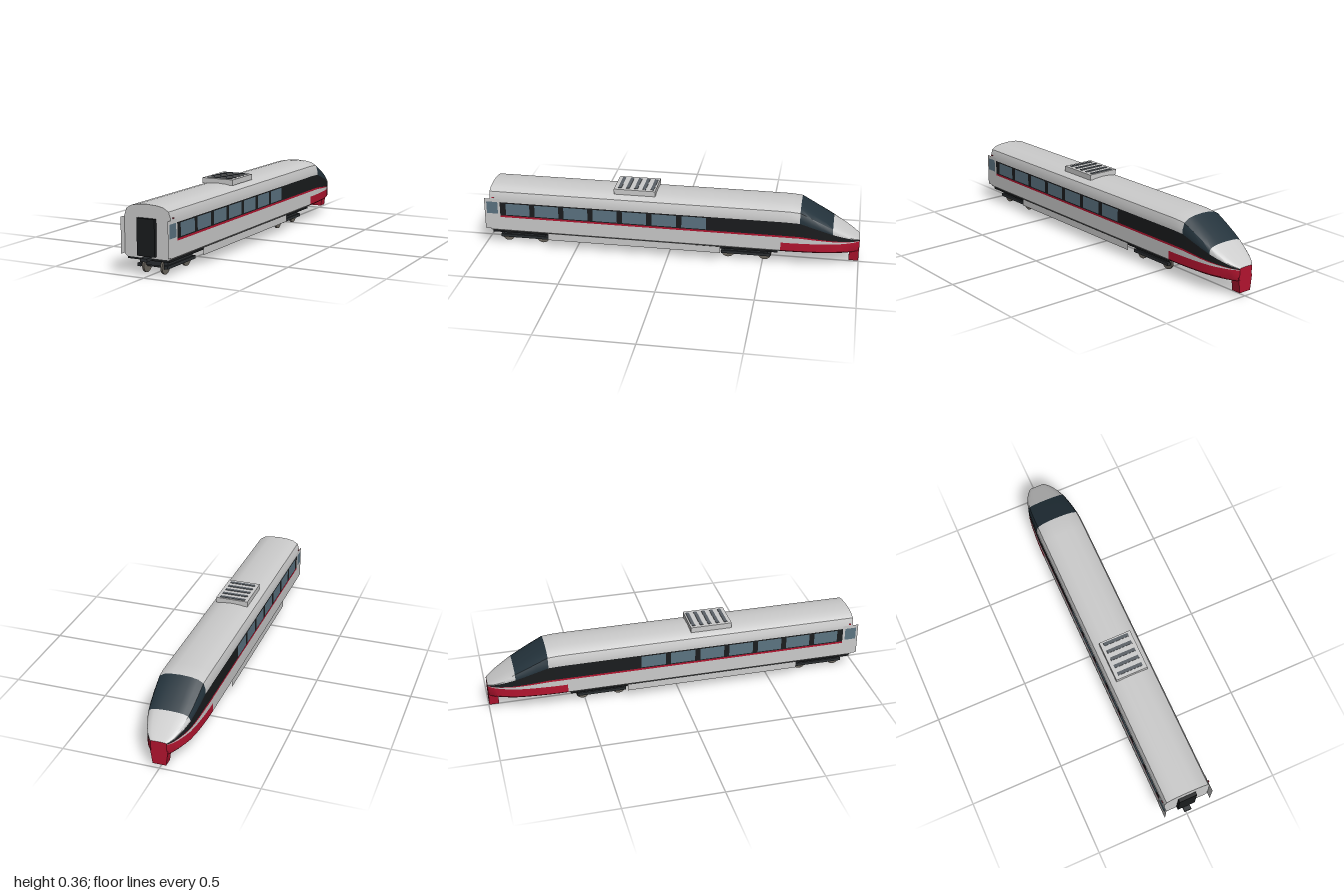
import * as THREE from 'three';
import { toCreasedNormals } from 'three/addons/utils/BufferGeometryUtils.js';

const mat = (color) => new THREE.MeshStandardMaterial({ color, side: THREE.DoubleSide });
const GREY = mat(0xcccccc), RED = mat(0xb3142f), BLACK = mat(0x1a1c1e), GLASS = mat(0x5c7482);
const SHIELD = mat(0x24333c), FRAME = mat(0x2a2e31), STEEL = mat(0x6b665e), SLAT = mat(0x5a6066);

// Half cross-section, from the sill up to the roof centre, then mirrored
const half = [[.112, .085], [.125, .095], [.125, .14], [.125, .17], [.125, .18], [.125, .257],
  [.125, .28], [.114, .313], [.086, .33], [.05, .337], [0, .34]];
const profile = [...half, ...half.slice(0, -1).reverse().map(([x, y]) => [-x, y])];
const LAST = profile.length - 1;

// Stations along the body: z, width factor, roof height
const stations = [[.96, 1, .34], [-.595, 1, .34], [-.64, 1, .339], [-.69, .985, .334], [-.75, .955, .3],
  [-.81, .91, .265], [-.86, .85, .235], [-.9, .76, .211], [-.94, .64, .187], [-.97, .52, .169],
  [-.99, .4, .157], [-1, .32, .15]];

function section([z, w, top]) {
  const base = .14, f = (top - base) / (.34 - base);
  return profile.map(([x, y]) => new THREE.Vector3(x * w, y > base ? base + (y - base) * f : y, z));
}

// Skin panel between two profile rows and two z positions
function panel(r0, r1, z0, z1) {
  const rings = stations.filter(([z]) => z <= z0 && z >= z1).map((s) => section(s).slice(r0, r1 + 1));
  const n = r1 - r0 + 1, index = [];
  for (let k = 0; k < rings.length - 1; k++) {
    for (let i = 0; i < n - 1; i++) {
      const a = k * n + i, c = a + n;
      index.push(a, c, a + 1, a + 1, c, c + 1);
    }
  }
  const g = new THREE.BufferGeometry().setFromPoints(rings.flat());
  g.setIndex(index);
  return toCreasedNormals(g, .6);
}

export function createModel() {
  const model = new THREE.Group();
  const add = (name, geometry, material, x = 0, y = 0, z = 0) => {
    const m = new THREE.Mesh(geometry, material);
    m.name = name;
    m.position.set(x, y, z);
    model.add(m);
    return m;
  };
  // Box given by its extents
  const box = (name, material, x0, x1, y0, y1, z0, z1) => add(name,
    new THREE.BoxGeometry(x1 - x0, y1 - y0, z1 - z0), material, (x0 + x1) / 2, (y0 + y1) / 2, (z0 + z1) / 2);
  // Thin sheet on one side of the body
  const sheet = (name, material, side, x, y0, y1, z0, z1) => {
    const m = add(name, new THREE.PlaneGeometry(z1 - z0, y1 - y0), material, side * x, (y0 + y1) / 2, (z0 + z1) / 2);
    m.rotation.y = side * Math.PI / 2;
  };
  const sidePanels = (name, material, r0, r1, z0, z1) => {
    add(name, panel(r0, r1, z0, z1), material);
    add(name, panel(LAST - r1, LAST - r0, z0, z1), material);
  };
  const endCap = (name, material, station) => {
    const shape = new THREE.Shape(section(station).map((p) => new THREE.Vector2(p.x, p.y)));
    const m = add(name, new THREE.ShapeGeometry(shape), material, 0, 0, station[0]);
    if (station[0] < 0) m.rotation.y = Math.PI;
  };

  // Body shell, with the underside of the nose left open
  sidePanels('lowerSide', GREY, 0, 3, .96, -.595);
  sidePanels('noseSkirt', RED, 0, 2, -.595, -1);
  sidePanels('noseSide', GREY, 2, 3, -.595, -1);
  sidePanels('sideStripe', RED, 3, 4, .96, -1);
  sidePanels('windowBand', BLACK, 4, 5, .96, -1);
  add('roof', panel(5, LAST - 5, .96, -.69), GREY);
  add('windshield', panel(5, LAST - 5, -.69, -.86), SHIELD);
  add('noseTop', panel(5, LAST - 5, -.86, -1), GREY);
  endCap('endWall', GREY, stations[0]);
  endCap('noseTip', RED, stations[stations.length - 1]);

  // Tapered plough under the nose
  const plough = new THREE.BoxGeometry(.09, .08, .05);
  const p = plough.attributes.position;
  for (let i = 0; i < p.count; i++) {
    if (p.getY(i) < 0) p.setX(i, p.getX(i) * .76);
  }
  plough.computeVertexNormals();
  add('plough', plough, RED, 0, .062, -.974);

  // Gangway door, coupler and floor
  box('gangwayDoor', BLACK, -.048, .048, .097, .275, .95, .978);
  box('coupler', FRAME, -.019, .019, .076, .092, .94, 1);
  box('floor', BLACK, -.112, .112, .074, .086, -.58, .955);

  for (const side of [-1, 1]) {
    // Passenger windows
    for (let i = 0; i < 7; i++) {
      const z = .808 - i * .158;
      sheet('sideWindow', GLASS, side, .1265, .186, .251, z - .065, z + .065);
    }
    // Entrance door
    sheet('entranceDoor', GREY, side, .127, .1, .275, .905, .99);
    sheet('entranceDoorWindow', GLASS, side, .1285, .19, .258, .917, .978);
    box('doorLight', RED, side * .128 - .002, side * .128 + .002, .281, .286, .935, .945);
    // Underfloor skirt
    sheet('underfloorSkirt', GREY, side, .12, .05, .088, -.28, .65);
  }

  // Roof unit with dark slats
  box('roofUnit', GREY, -.087, .087, .333, .362, .07, .29);
  for (let i = 0; i < 5; i++) {
    const z = .088 + i * .0435;
    box('roofSlat', SLAT, -.069, .069, .36, .3645, z - .009, z + .009);
  }

  // Bogies
  for (const z of [.792, -.412]) {
    box('bogieFrame', FRAME, -.075, .075, .04, .074, z - .115, z + .115);
    for (const side of [-1, 1]) {
      box('bogieSideBeam', FRAME, side * .073 - .009, side * .073 + .009, .032, .048, z - .13, z + .13);
      for (const dz of [-.097, .097]) {
        const wheel = add('wheel', toCreasedNormals(new THREE.CylinderGeometry(.036, .036, .01, 20), .6),
          STEEL, side * .05, .036, z + dz);
        wheel.rotation.z = Math.PI / 2;
      }
    }
    for (const dz of [-.097, .097]) {
      const axle = add('axle', new THREE.CylinderGeometry(.007, .007, .14, 10), FRAME, 0, .036, z + dz);
      axle.rotation.z = Math.PI / 2;
    }
  }
  return model;
}
